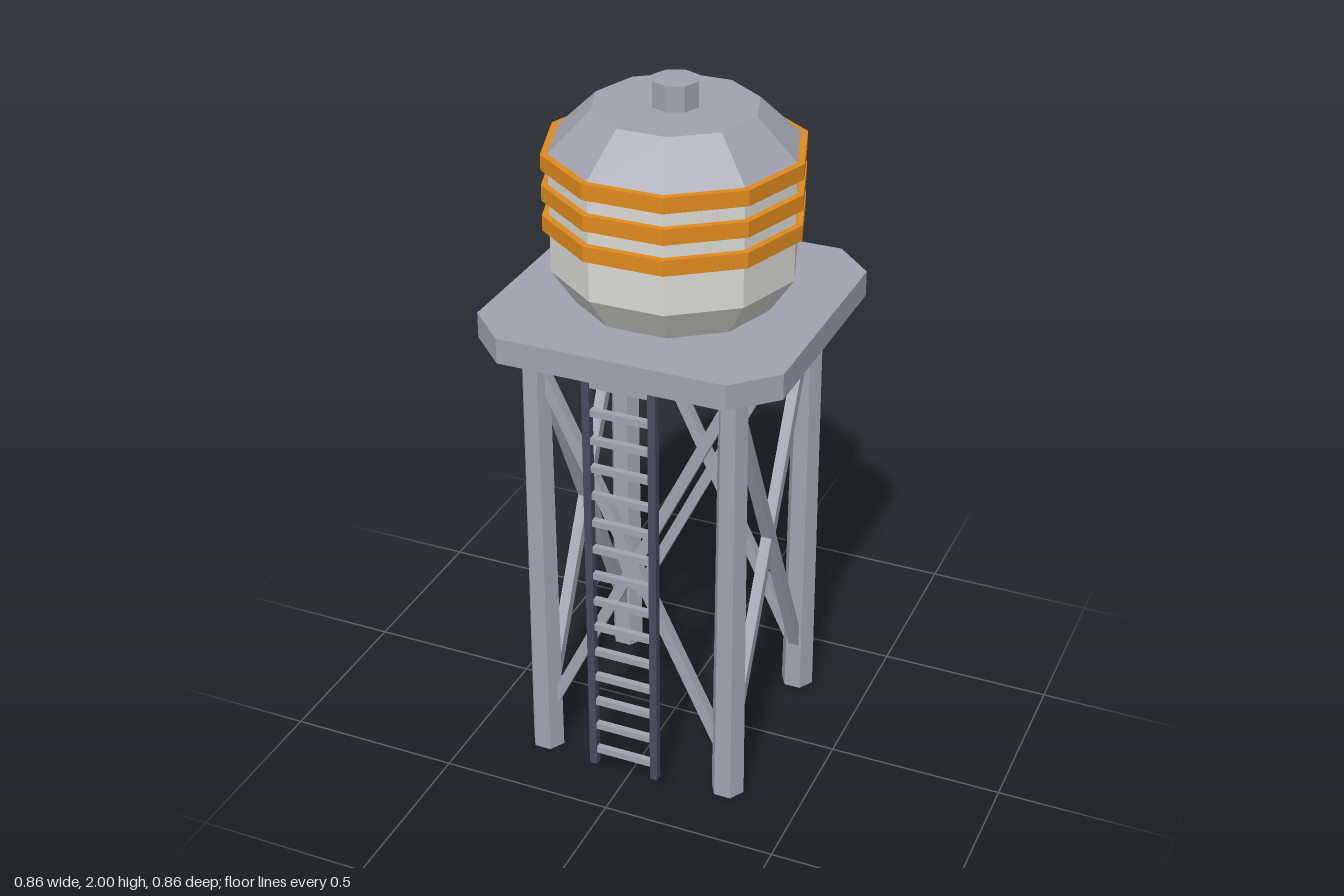
import * as THREE from 'three';

const paint = (name, color) => {
  const m = new THREE.MeshStandardMaterial({ color, flatShading: true });
  m.name = name;
  return m;
};

export function createModel() {
  const steel = paint('steelGrey', 0xa2a2af);
  const shell = paint('paleShell', 0xd8d8d4);
  const orange = paint('orangeBand', 0xe08a1e);
  const dark = paint('darkRail', 0x474a5e);

  const tower = new THREE.Group();
  tower.name = 'waterTower';

  const add = (parent, name, geometry, material, x = 0, y = 0, z = 0) => {
    const mesh = new THREE.Mesh(geometry, material);
    mesh.name = name;
    mesh.position.set(x, y, z);
    parent.add(mesh);
    return mesh;
  };
  const group = (name, parent = tower) => {
    const g = new THREE.Group();
    g.name = name;
    parent.add(g);
    return g;
  };
  // Faceted drum between two heights, with corners on the x axis
  const drum = (parent, name, rTop, rBottom, y0, y1, sides, material, x = 0, z = 0) =>
    add(parent, name,
      new THREE.CylinderGeometry(rTop, rBottom, y1 - y0, sides, 1, false, Math.PI / 2),
      material, x, (y0 + y1) / 2, z);

  // Tank with tapered base, bands, roof and cap
  const tank = group('tank');
  drum(tank, 'tankBase', 0.337, 0.27, 1.39, 1.49, 10, shell);
  drum(tank, 'tankBody', 0.337, 0.337, 1.49, 1.815, 10, shell);
  drum(tank, 'roof', 0.225, 0.345, 1.815, 1.93, 10, steel);
  drum(tank, 'roofCap', 0.065, 0.065, 1.92, 2, 8, steel);
  for (const y of [1.61, 1.695, 1.78]) drum(tank, 'band', 0.356, 0.356, y, y + 0.043, 10, orange);

  // Platform with cut corners
  const a = 0.432, c = 0.32;
  const outline = [[a, -c], [a, c], [c, a], [-c, a], [-a, c], [-a, -c], [-c, -a], [c, -a]];
  const slab = new THREE.ExtrudeGeometry(
    new THREE.Shape(outline.map(([x, y]) => new THREE.Vector2(x, y))),
    { depth: 0.073, bevelEnabled: false });
  slab.rotateX(-Math.PI / 2);
  add(tower, 'platform', slab, steel, 0, 1.32, 0);

  // Four tapering six-sided legs
  const p = 0.283;
  const legs = group('legs');
  for (const x of [-p, p])
    for (const z of [-p, p]) drum(legs, 'leg', 0.041, 0.049, 0, 1.33, 6, steel, x, z);

  // Crossed braces on each side
  const low = 0.105, high = 1.275;
  const braceLength = Math.hypot(2 * p, high - low);
  const tilt = Math.atan2(2 * p, high - low);
  for (let i = 0; i < 4; i++) {
    const side = group('crossBrace');
    side.rotation.y = i * Math.PI / 2;
    for (const s of [-1, 1]) {
      const brace = add(side, 'brace', new THREE.BoxGeometry(0.031, braceLength, 0.031),
        steel, 0, (low + high) / 2, p);
      brace.rotation.z = s * tilt;
    }
  }

  // Ladder at the front
  const ladder = group('ladder');
  for (const x of [-0.094, 0.094])
    add(ladder, 'ladderRail', new THREE.BoxGeometry(0.022, 1.285, 0.023), dark, x, 0.6825, 0.367);
  for (let i = 0; i < 15; i++)
    add(ladder, 'rung', new THREE.BoxGeometry(0.18, 0.02, 0.018), steel, 0, 0.09 + i * 0.085, 0.367);

  return tower;
}
